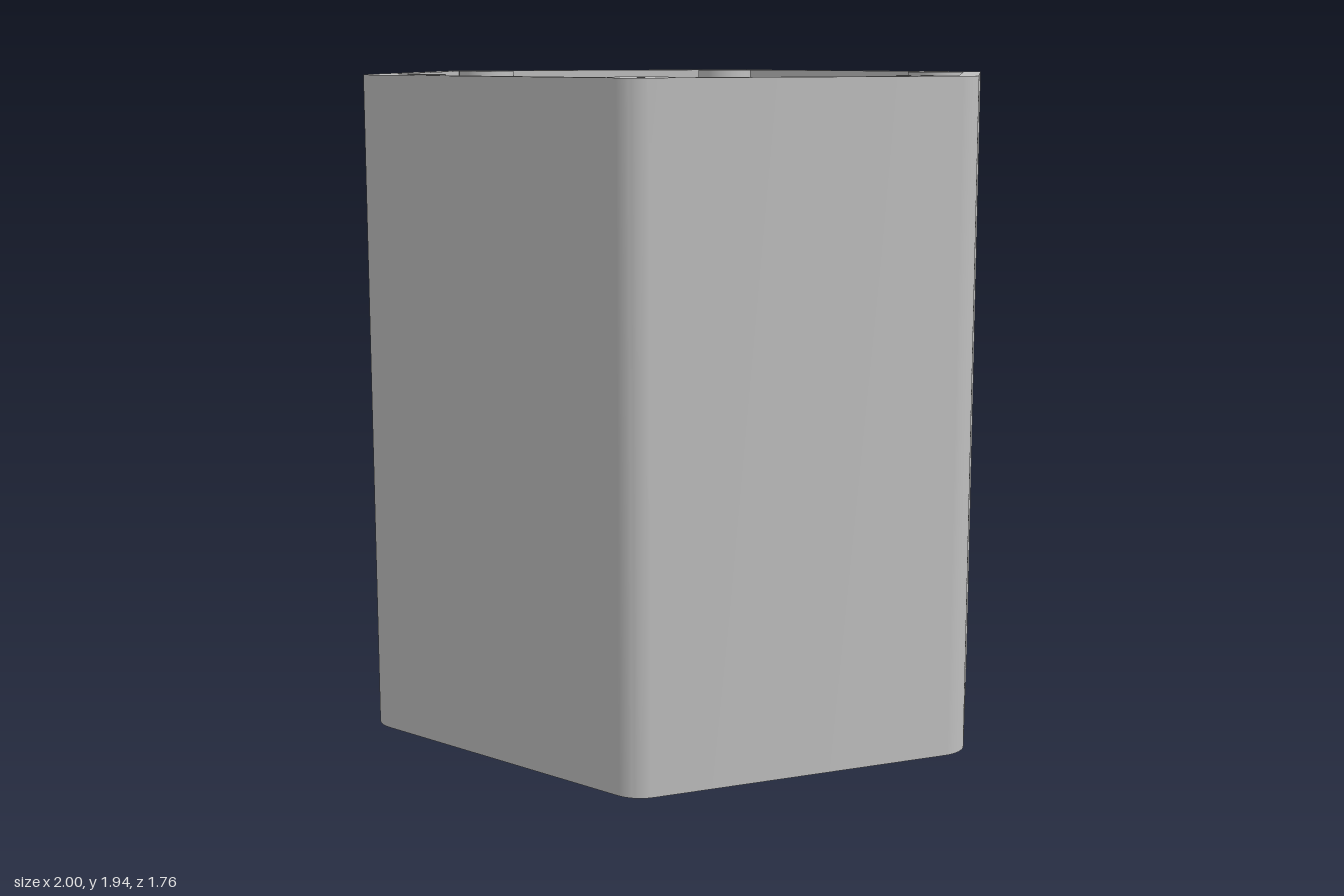
import * as THREE from 'three';
import { toCreasedNormals } from 'three/addons/utils/BufferGeometryUtils.js';

const H = 1.94, FLOOR = 0.1;           // overall height, floor thickness
const APOTHEM = 0.88, CORNER = 0.1;    // outer hexagon and its corner rounding
const INNER = 0.825;                   // apothem of the cavity
const BOSS_AT = 0.853, BOSS_R = 0.09, HOLE_R = 0.038, HOLE_DEPTH = 0.25;
const BORE_R = 0.504, CHAMFER = 0.038;
const C30 = Math.cos(Math.PI / 6);

// Points along an arc, both ends included
function arc(cx, cy, r, a0, a1, n) {
  return Array.from({ length: n + 1 }, (_, i) => {
    const a = a0 + (a1 - a0) * i / n;
    return new THREE.Vector2(cx + r * Math.cos(a), cy + r * Math.sin(a));
  });
}
const circle = (x, y, r, n = 32) => arc(x, y, r, 0, Math.PI * 2, n).slice(0, -1);

// Joins what is made for each of the six corners into one loop
function hexLoop(make) {
  return Array.from({ length: 6 }, (_, k) => make(k * Math.PI / 3)).flat();
}

// Strip between two loops of equal length; inward faces the loop's middle
function wall(loopA, y0, loopB, y1, inward = false) {
  const p = [], n = loopA.length;
  for (let i = 0; i < n; i++) {
    const j = (i + 1) % n;
    const a = [loopA[i].x, y0, -loopA[i].y], b = [loopA[j].x, y0, -loopA[j].y];
    const c = [loopB[j].x, y1, -loopB[j].y], d = [loopB[i].x, y1, -loopB[i].y];
    if (inward) p.push(...a, ...c, ...b, ...a, ...d, ...c);
    else p.push(...a, ...b, ...c, ...a, ...c, ...d);
  }
  const g = new THREE.BufferGeometry();
  g.setAttribute('position', new THREE.Float32BufferAttribute(p, 3));
  return toCreasedNormals(g, 0.5);
}

// Flat face with holes, facing up or down
function plate(outline, holes, y, down = false) {
  const s = new THREE.Shape(outline);
  s.holes = holes.map(h => new THREE.Path(h));
  return new THREE.ShapeGeometry(s).rotateX(down ? Math.PI / 2 : -Math.PI / 2).translate(0, y, 0);
}

export function createModel() {
  const model = new THREE.Group();
  const grey = new THREE.MeshStandardMaterial({ color: 0xbfbfbf, side: THREE.DoubleSide });
  grey.name = 'grey';
  const add = (name, geometry) => {
    const m = new THREE.Mesh(geometry, grey);
    m.name = name;
    model.add(m);
  };

  // Rounded outer hexagon
  const rc = (APOTHEM - CORNER) / C30;
  const outer = hexLoop(t =>
    arc(rc * Math.cos(t), rc * Math.sin(t), CORNER, t - Math.PI / 6, t + Math.PI / 6, 12));

  // Cavity outline, bulging inward round the screw boss in each corner
  const delta = Math.acos((INNER - BOSS_AT * C30) / BOSS_R);
  const start = -Math.PI / 6 - delta, end = Math.PI / 6 + delta - Math.PI * 2;
  const cavity = hexLoop(t =>
    arc(BOSS_AT * Math.cos(t), BOSS_AT * Math.sin(t), BOSS_R, t + start, t + end, 28));

  // Screw hole positions in the bosses and in the floor
  const bossSpots = hexLoop(t => [[BOSS_AT * Math.cos(t), BOSS_AT * Math.sin(t)]]);
  const floorSpots = [[1, 1], [-1, 1], [-1, -1], [1, -1]].map(([x, y]) => [x * 0.427, y * 0.427]);
  const bossHoles = bossSpots.map(([x, y]) => circle(x, y, HOLE_R));
  const floorHoles = floorSpots.map(([x, y]) => circle(x, y, HOLE_R));

  const bore = circle(0, 0, BORE_R, 96), boreMouth = circle(0, 0, BORE_R + CHAMFER, 96);

  // Housing
  add('outerWall', wall(outer, 0, outer, H));
  add('innerWall', wall(cavity, FLOOR, cavity, H, true));
  add('topRim', plate(outer, [cavity, ...bossHoles], H));
  add('floor', plate(cavity, [bore, ...floorHoles], FLOOR));
  add('underside', plate(outer, [boreMouth, ...bossHoles], 0, true));

  // Central opening with a chamfered mouth below
  add('openingWall', wall(bore, CHAMFER, bore, FLOOR, true));
  add('openingChamfer', wall(boreMouth, 0, bore, CHAMFER, true));

  // Blind screw holes
  const blindHole = (name, loop, yMouth, yEnd) => {
    add(name, wall(loop, Math.min(yMouth, yEnd), loop, Math.max(yMouth, yEnd), true));
    add(name + 'End', plate(loop, [], yEnd, yEnd > yMouth));
  };
  bossHoles.forEach(loop => {
    blindHole('topScrewHole', loop, H, H - HOLE_DEPTH);
    blindHole('bottomScrewHole', loop, 0, HOLE_DEPTH);
  });
  floorHoles.forEach(loop => blindHole('floorScrewHole', loop, FLOOR, FLOOR - 0.08));

  return model;
}
